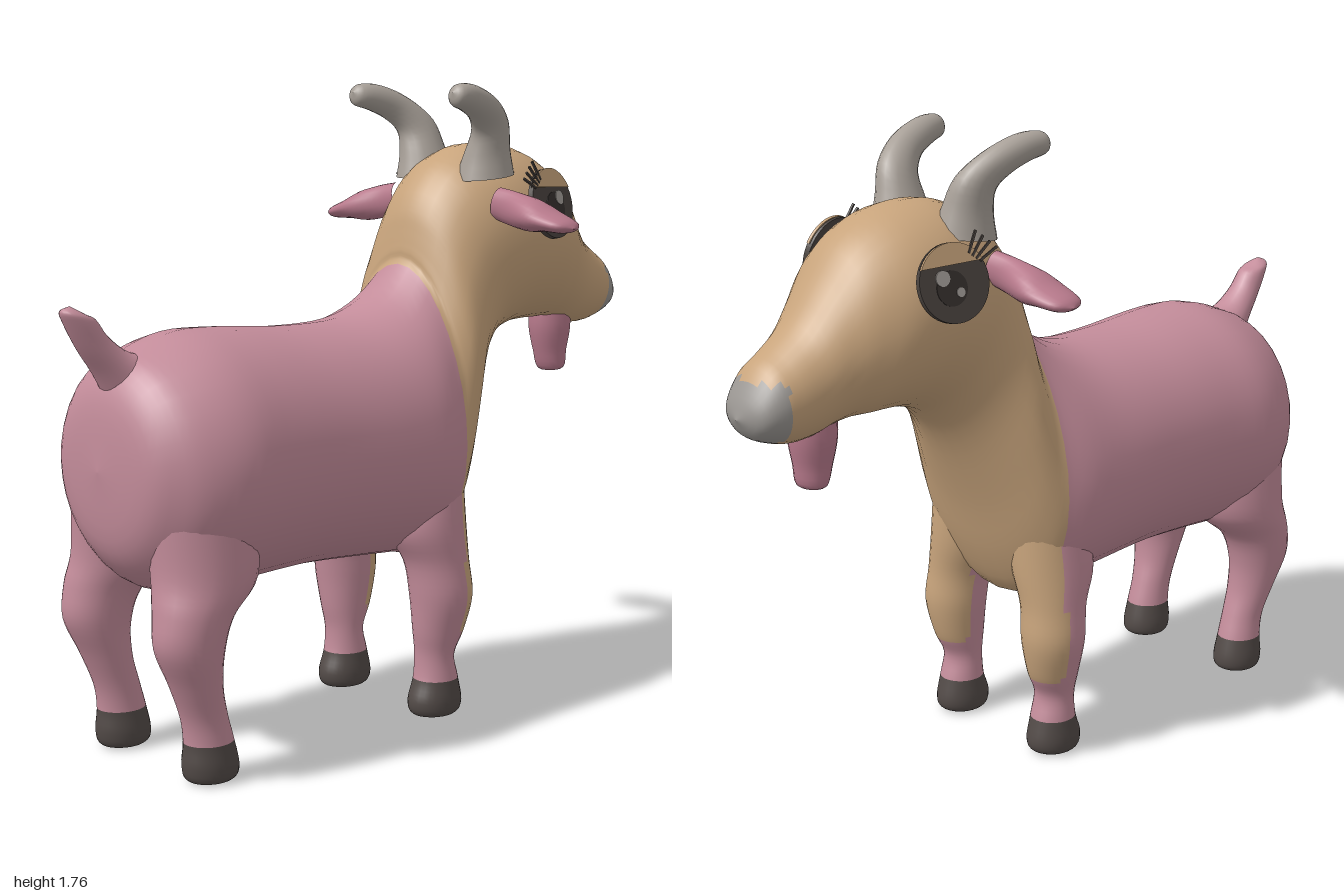
import * as THREE from 'three';

const mat = (name, color) => Object.assign(new THREE.MeshStandardMaterial({ color }), { name });

// Smooth skin through oval sections [ax, ay, bx, by, halfWidth, z, egg]:
// a and b are opposite ends of the oval in the xy plane, z its side offset,
// egg widens the b end. pick(x, y) chooses the material of each face.
function loft(name, sections, mats, pick = () => 0, steps = 4, sides = 32) {
  const curve = f => new THREE.CatmullRomCurve3(sections.map(f), false, 'catmullrom', 0.5);
  const A = curve(s => new THREE.Vector3(s[0], s[1], s[4]));
  const B = curve(s => new THREE.Vector3(s[2], s[3], s[5] || 0));
  const E = curve(s => new THREE.Vector3(s[6] || 0, 0, 0));
  const rings = (sections.length - 1) * steps;
  const pos = [];
  for (let i = 0; i <= rings; i++) {
    const t = i / rings, a = A.getPoint(t), b = B.getPoint(t), egg = E.getPoint(t).x;
    for (let j = 0; j < sides; j++) {
      const u = (j / sides) * Math.PI * 2, c = Math.cos(u) / 2;
      pos.push(
        (a.x + b.x) / 2 + (a.x - b.x) * c,
        (a.y + b.y) / 2 + (a.y - b.y) * c,
        b.z + Math.max(a.z, 0) * Math.sin(u) * (1 - egg * 2 * c));
    }
  }
  const faces = mats.map(() => []);
  for (let i = 0; i < rings; i++) {
    for (let j = 0; j < sides; j++) {
      const k = (j + 1) % sides;
      const p = i * sides + j, q = i * sides + k, r = p + sides, s = q + sides;
      const x = (pos[p * 3] + pos[q * 3] + pos[r * 3] + pos[s * 3]) / 4;
      const y = (pos[p * 3 + 1] + pos[q * 3 + 1] + pos[r * 3 + 1] + pos[s * 3 + 1]) / 4;
      faces[pick(x, y)].push(p, q, r, q, s, r);
    }
  }
  const geo = new THREE.BufferGeometry();
  geo.setAttribute('position', new THREE.Float32BufferAttribute(pos, 3));
  geo.setIndex(faces.flat());
  let start = 0;
  faces.forEach((f, m) => { geo.addGroup(start, f.length, m); start += f.length; });
  geo.computeVertexNormals();
  const mesh = new THREE.Mesh(geo, mats);
  mesh.name = name;
  return mesh;
}

export function createModel() {
  const pink = mat('pink coat', 0xc38c9a);
  const tan = mat('tan coat', 0xc8a47c);
  const rose = mat('rose skin', 0xb87a8c);
  const horn = mat('horn grey', 0xa8a098);
  const nose = mat('nose grey', 0x9b9793);
  const hoof = mat('hoof brown', 0x524a47);
  const dark = mat('eye dark', 0x4a433f);
  const pupilDark = mat('pupil dark', 0x36302e);
  const glint = mat('eye glint', 0xa39d98);

  const goat = new THREE.Group();
  goat.name = 'goat';

  // Rump, barrel, neck, head and muzzle as one skin
  goat.add(loft('bodyAndHead', [
    [-0.9, 0.8, -0.9, 0.8, 0],
    [-0.885, 0.97, -0.88, 0.62, 0.17],
    [-0.84, 1.06, -0.83, 0.53, 0.25],
    [-0.77, 1.10, -0.76, 0.48, 0.305],
    [-0.65, 1.135, -0.65, 0.46, 0.335],
    [-0.5, 1.135, -0.5, 0.465, 0.322],
    [-0.3, 1.12, -0.3, 0.47, 0.312],
    [-0.1, 1.125, -0.1, 0.46, 0.312, 0, 0.03],
    [0.04, 1.175, 0.04, 0.45, 0.305, 0, 0.1],
    [0.13, 1.26, 0.13, 0.445, 0.275, 0, 0.2],
    [0.14, 1.30, 0.20, 0.56, 0.26, 0, 0.2],
    [0.15, 1.35, 0.265, 0.74, 0.245, 0, 0.15],
    [0.165, 1.41, 0.345, 0.92, 0.22, 0, 0.06],
    [0.2, 1.475, 0.42, 1.02, 0.215],
    [0.27, 1.545, 0.5, 1.06, 0.228],
    [0.39, 1.59, 0.58, 1.07, 0.236],
    [0.54, 1.58, 0.65, 1.07, 0.222],
    [0.66, 1.52, 0.70, 1.07, 0.185],
    [0.74, 1.425, 0.75, 1.06, 0.15],
    [0.81, 1.335, 0.80, 1.045, 0.13],
    [0.88, 1.28, 0.86, 1.04, 0.118],
    [0.93, 1.245, 0.91, 1.05, 0.108],
    [0.975, 1.18, 0.965, 1.075, 0.075],
    [0.995, 1.125, 0.995, 1.125, 0],
  ], [pink, tan, nose], (x, y) => (x > 0.905 && y < 1.215 ? 2 : x > 0.13 ? 1 : 0)));

  // Tail
  goat.add(loft('tail', [
    [-0.85, 0.96, -0.70, 1.08, 0.085],
    [-0.895, 1.04, -0.80, 1.095, 0.06],
    [-0.945, 1.11, -0.865, 1.14, 0.046],
    [-0.985, 1.18, -0.90, 1.185, 0.04],
    [-0.995, 1.21, -0.93, 1.2, 0.03],
    [-0.97, 1.222, -0.97, 1.222, 0],
  ], [pink], undefined, 4, 20));

  // Chin beard
  goat.add(loft('beard', [
    [0.77, 0.9, 0.77, 0.9, 0],
    [0.735, 0.905, 0.81, 0.91, 0.042],
    [0.715, 0.96, 0.82, 0.965, 0.05],
    [0.70, 1.03, 0.83, 1.03, 0.062],
    [0.70, 1.1, 0.83, 1.1, 0.062],
  ], [rose], undefined, 4, 20));

  for (const s of [1, -1]) {
    const side = s > 0 ? 'Right' : 'Left';

    // Legs with dark hooves
    goat.add(loft('frontLeg' + side, [
      [0.10, 0.005, 0.10, 0.005, 0, s * 0.19],
      [0.03, 0.01, 0.16, 0.01, 0.056, s * 0.19],
      [0.015, 0.05, 0.18, 0.04, 0.068, s * 0.19],
      [0.035, 0.11, 0.165, 0.11, 0.062, s * 0.19],
      [0.04, 0.18, 0.15, 0.18, 0.058, s * 0.19],
      [0.03, 0.25, 0.18, 0.25, 0.07, s * 0.195],
      [0.02, 0.35, 0.20, 0.35, 0.088, s * 0.2],
      [0.005, 0.45, 0.195, 0.45, 0.09, s * 0.19],
      [-0.04, 0.55, 0.20, 0.56, 0.11, s * 0.165],
      [-0.02, 0.68, 0.20, 0.70, 0.11, s * 0.15],
    ], [pink, tan, hoof], (x, y) => (y < 0.105 ? 2 : x > 0.13 && y > 0.23 ? 1 : 0), 5, 28));

    goat.add(loft('backLeg' + side, [
      [-0.70, 0.005, -0.70, 0.005, 0, s * 0.19],
      [-0.765, 0.01, -0.64, 0.01, 0.056, s * 0.19],
      [-0.78, 0.05, -0.625, 0.04, 0.068, s * 0.19],
      [-0.775, 0.11, -0.64, 0.11, 0.062, s * 0.19],
      [-0.785, 0.18, -0.66, 0.18, 0.06, s * 0.19],
      [-0.82, 0.27, -0.68, 0.26, 0.07, s * 0.195],
      [-0.865, 0.37, -0.68, 0.35, 0.085, s * 0.2],
      [-0.86, 0.46, -0.65, 0.44, 0.1, s * 0.195],
      [-0.845, 0.55, -0.56, 0.53, 0.125, s * 0.175],
      [-0.85, 0.7, -0.55, 0.7, 0.13, s * 0.16],
    ], [pink, hoof], (x, y) => (y < 0.105 ? 1 : 0), 5, 28));

    // Horn curving back and outward
    goat.add(loft('horn' + side, [
      [0.265, 1.49, 0.44, 1.51, 0.08, s * 0.12],
      [0.28, 1.56, 0.42, 1.58, 0.062, s * 0.13],
      [0.285, 1.62, 0.395, 1.66, 0.05, s * 0.15],
      [0.25, 1.66, 0.325, 1.72, 0.044, s * 0.175],
      [0.195, 1.685, 0.235, 1.755, 0.04, s * 0.19],
      [0.15, 1.70, 0.165, 1.758, 0.03, s * 0.2],
      [0.142, 1.735, 0.142, 1.735, 0, s * 0.2],
    ], [horn], undefined, 4, 20));

    // Ear, lofted upright then laid out to the side
    const ear = loft('ear' + side, [
      [-0.03, 0, 0.03, 0, 0.045],
      [-0.035, 0.06, 0.03, 0.06, 0.048],
      [-0.06, 0.14, 0.055, 0.14, 0.045],
      [-0.065, 0.2, 0.06, 0.2, 0.03],
      [-0.05, 0.265, 0.045, 0.265, 0.018],
      [0, 0.29, 0, 0.29, 0],
    ], [rose], undefined, 4, 20);
    ear.position.set(0.325, 1.43, s * 0.2);
    ear.rotation.x = s * (Math.PI / 2 + 0.2);
    goat.add(ear);

    // Eye: flat discs, mirrored by shifting layers outward along s
    const eye = new THREE.Group();
    eye.name = 'eye' + side;
    const plate = (name, shape, material, layer, depth = 0.008) => {
      const geo = new THREE.ExtrudeGeometry(shape, { depth, bevelEnabled: false, curveSegments: 32 });
      geo.translate(0, 0, -depth / 2);
      const m = new THREE.Mesh(geo, material);
      m.name = name;
      m.position.z = s * layer;
      eye.add(m);
    };
    const disc = (x, y, r) => new THREE.Shape().absarc(x, y, r, 0, Math.PI * 2);
    const cut = Math.asin(0.45);
    plate('eyeBack', disc(0, 0, 0.1), dark, -0.008);
    plate('iris', new THREE.Shape().absarc(0, 0, 0.1, Math.PI - cut, Math.PI * 2 + cut), dark, 0);
    plate('eyelid', new THREE.Shape().absarc(0, 0, 0.1, cut, Math.PI - cut), tan, 0.003);
    plate('pupil', disc(0.01, -0.012, 0.044), pupilDark, 0.002);
    plate('largeGlint', disc(0.033, 0.016, 0.02), glint, 0.004);
    plate('smallGlint', disc(-0.012, -0.025, 0.012), glint, 0.004);
    for (let i = 0; i < 4; i++) {
      const lash = new THREE.Mesh(new THREE.BoxGeometry(0.06, 0.006, 0.006), dark);
      lash.name = 'eyelash';
      lash.position.set(-0.108 + i * 0.014, 0.056 + i * 0.012, s * 0.006);
      lash.rotation.z = -0.45 - i * 0.2;
      eye.add(lash);
    }
    eye.position.set(0.5, 1.425, s * 0.243);
    eye.rotation.set(-s * 0.22, s * 0.17, 0);
    goat.add(eye);
  }

  return goat;
}
